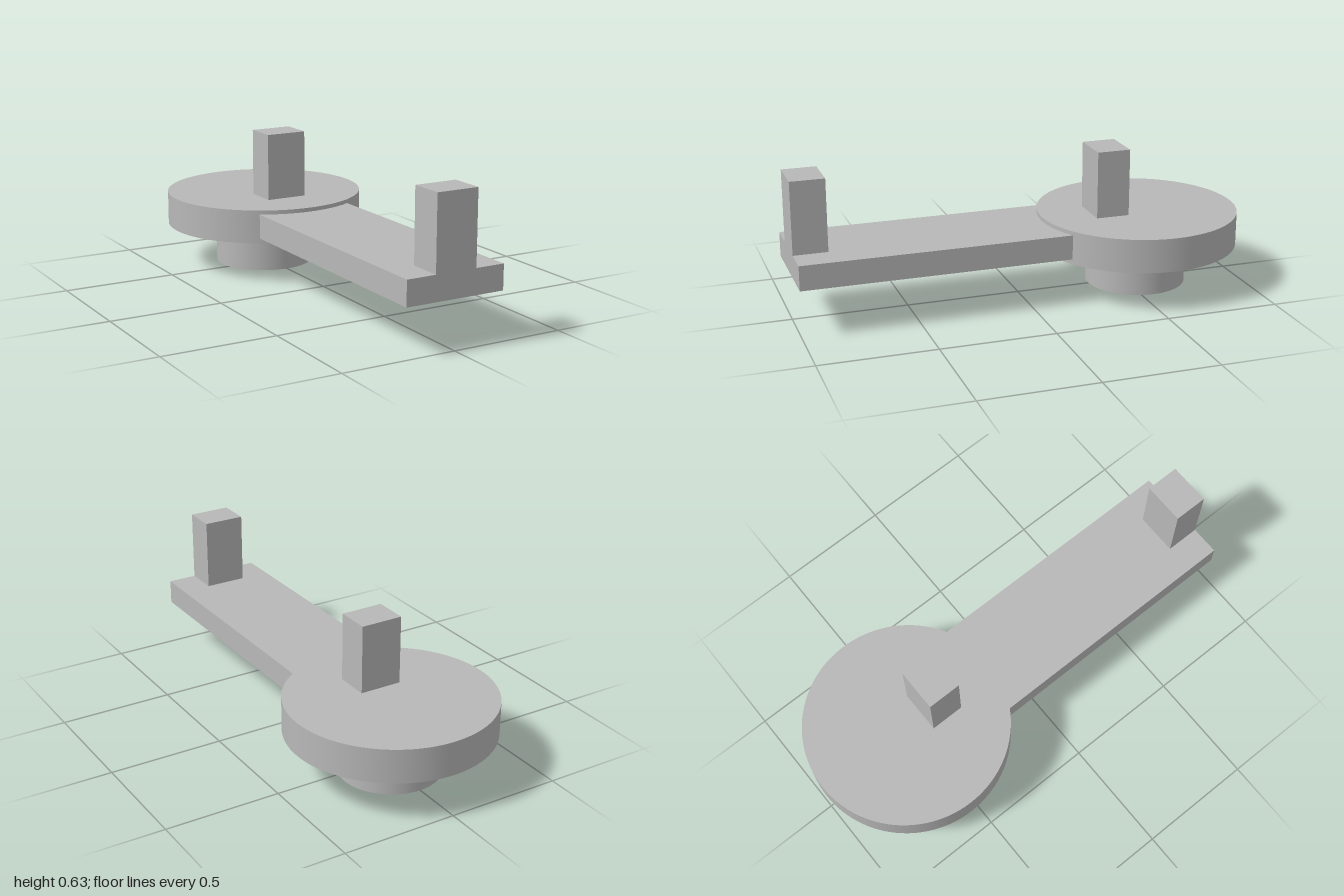
import * as THREE from 'three';

export function createModel() {
  const group = new THREE.Group();
  group.name = 'crankArm';
  const grey = new THREE.MeshStandardMaterial({ name: 'plain grey', color: 0xb8b8b8 });
  const discZ = -0.556;

  const add = (name, geometry, y, z) => {
    const mesh = new THREE.Mesh(geometry, grey);
    mesh.name = name;
    mesh.position.set(0, y, z);
    group.add(mesh);
  };
  // Round part standing between two heights
  const round = (name, radius, y0, y1) =>
    add(name, new THREE.CylinderGeometry(radius, radius, y1 - y0, 96), (y0 + y1) / 2, discZ);
  // Block centred on x, spanning the given heights and depths
  const block = (name, width, y0, y1, z0, z1) =>
    add(name, new THREE.BoxGeometry(width, y1 - y0, z1 - z0), (y0 + y1) / 2, (z0 + z1) / 2);

  // Hub and disc
  round('hub', 0.222, 0, 0.185);
  round('disc', 0.444, 0.185, 0.333);

  // Flat arm, its rear end sunk into the disc
  block('arm', 0.444, 0.207, 0.315, -0.19, 1);

  // Upright pegs on the arm tip and on the disc
  block('armPeg', 0.185, 0.315, 0.63, 0.852, 1);
  block('discPeg', 0.185, 0.333, 0.63, -0.481, -0.333);

  return group;
}
